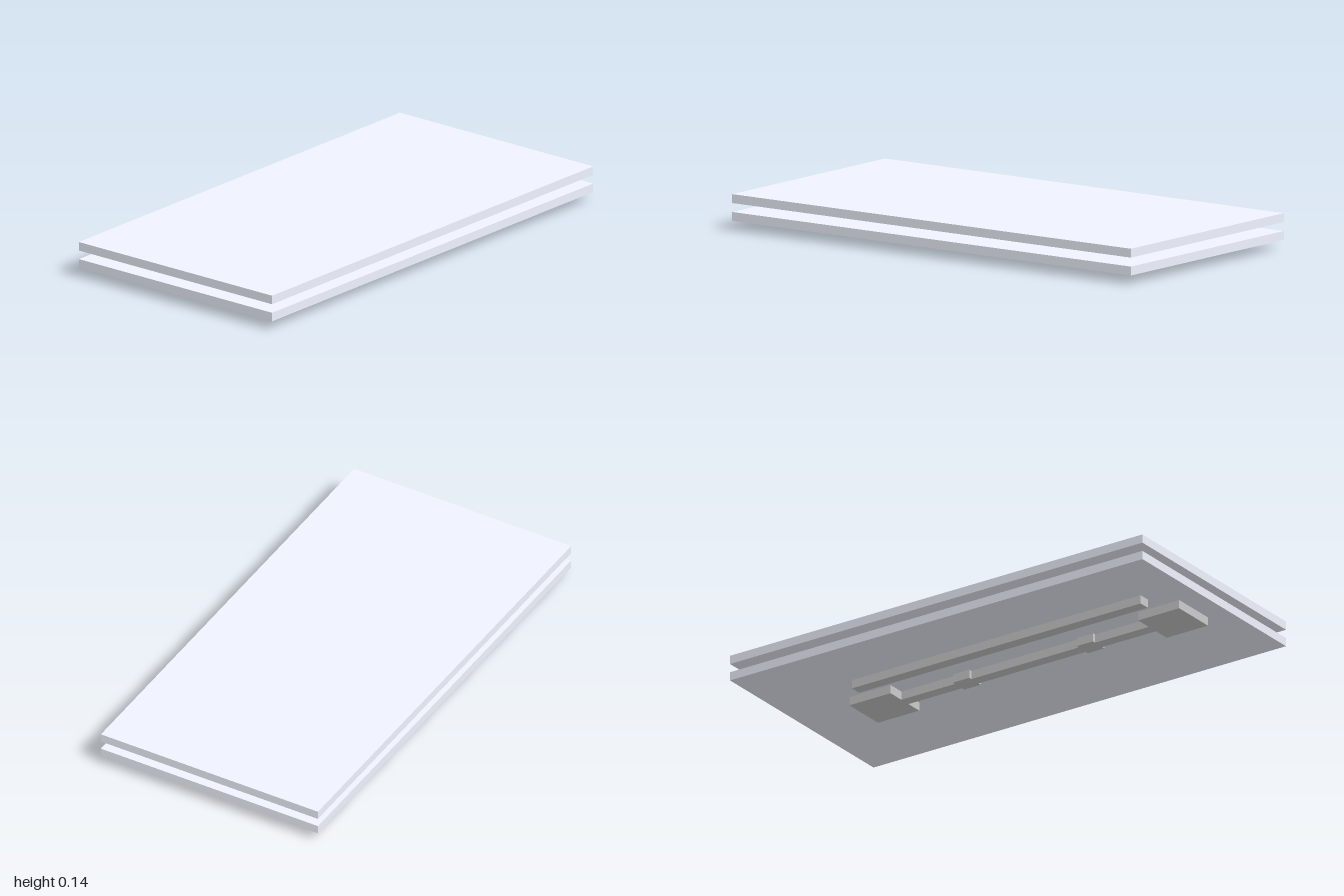
import * as THREE from 'three';

const LAYER = 0.0361; // common thickness of every layer

export function createModel() {
  const model = new THREE.Group();
  const plateMaterial = new THREE.MeshStandardMaterial({ color: 0xf0f3ff });
  const greyMaterial = new THREE.MeshStandardMaterial({ color: 0xcccccc });

  // Box given by its x range, bottom layer index, centre z and depth
  function addSlab(name, x0, x1, layer, z, depth, material) {
    const mesh = new THREE.Mesh(new THREE.BoxGeometry(x1 - x0, LAYER, depth), material);
    mesh.position.set((x0 + x1) / 2, (layer + 0.5) * LAYER, z);
    mesh.name = name;
    model.add(mesh);
  }

  // Two large plates with a gap between them
  addSlab('lowerPlate', -1, 1, 1, 0, 1, plateMaterial);
  addSlab('upperPlate', -1, 1, 3, 0, 1, plateMaterial);

  // Square end pads under the lower plate
  for (const x of [-0.8, 0.6]) addSlab('endPad', x - 0.1, x + 0.1, 0, 0, 0.2, greyMaterial);

  // Spacer blocks between the plates, each with a matching block underneath
  const blocks = [-0.4, 0.2];
  for (const x of blocks) {
    addSlab('lowerBlock', x - 0.04, x + 0.04, 0, 0, 0.08, greyMaterial);
    addSlab('spacerBlock', x - 0.04, x + 0.04, 2, 0, 0.08, greyMaterial);
  }

  // Centre strip running from pad to pad, interrupted by the blocks
  const stops = [-0.7, ...blocks.flatMap((x) => [x - 0.04, x + 0.04]), 0.5];
  for (let i = 0; i < stops.length; i += 2) {
    addSlab('centreStrip', stops[i], stops[i + 1], 0, 0, 0.05, greyMaterial);
  }

  // Separate parallel strip towards the back
  addSlab('backStrip', -0.8, 0.6, 0, -0.2, 0.05, greyMaterial);

  return model;
}
